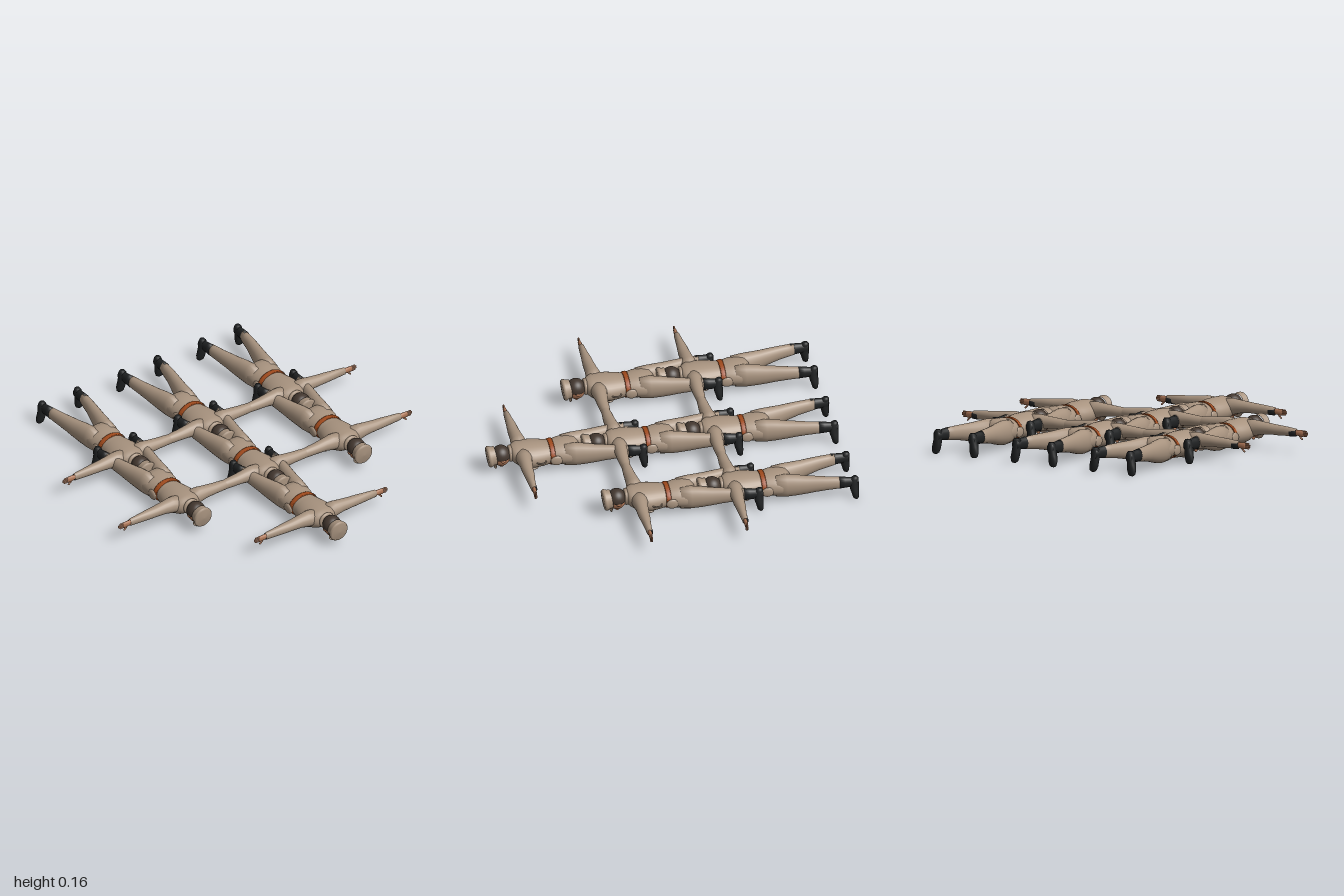
import * as THREE from 'three';

const mat = (name, color) => Object.assign(new THREE.MeshStandardMaterial({ color }), { name });

// Closed smooth body through elliptical sections [t, a, b, ra, rb] along an axis:
// z -> (a, b) = (x, y);  x -> (z, y);  y -> (x, z)
function loft(axis, rows, sides = 20) {
  const order = { z: [1, 2, 0], x: [0, 2, 1], y: [1, 0, 2] }[axis];
  const pos = [], index = [];
  const put = (t, a, b) => order.forEach((k) => pos.push([t, a, b][k]));
  const flip = (axis !== 'z') !== (rows[1][0] < rows[0][0]);
  const tri = (a, b, c) => (flip ? index.push(a, c, b) : index.push(a, b, c));
  for (const [t, a, b, ra, rb] of rows) {
    for (let j = 0; j < sides; j++) {
      const u = (j / sides) * Math.PI * 2;
      put(t, a + ra * Math.cos(u), b + rb * Math.sin(u));
    }
  }
  for (let i = 0; i < rows.length - 1; i++) {
    for (let j = 0; j < sides; j++) {
      const p = i * sides + j, q = i * sides + (j + 1) % sides;
      tri(p, q, q + sides);
      tri(p, q + sides, p + sides);
    }
  }
  // End caps
  const n = rows.length * sides, last = n - sides;
  for (const r of [rows[0], rows[rows.length - 1]]) put(r[0], r[1], r[2]);
  for (let j = 0; j < sides; j++) {
    const k = (j + 1) % sides;
    tri(n, k, j);
    tri(n + 1, last + j, last + k);
  }
  const g = new THREE.BufferGeometry();
  g.setAttribute('position', new THREE.Float32BufferAttribute(pos, 3));
  g.setIndex(index);
  g.computeVertexNormals();
  return g;
}

export function createModel() {
  const cloth = mat('khaki cloth', 0xa8937f);
  const skin = mat('skin', 0xb07858);
  const hair = mat('dark brown hair', 0x43372f);
  const leather = mat('black leather', 0x1f2122);
  const belt = mat('orange brown belt', 0xa04a1c);

  const figure = new THREE.Group();
  figure.name = 'figure';
  const add = (name, geometry, material, x = 0, y = 0, z = 0, parent = figure) => {
    const m = new THREE.Mesh(geometry, material);
    m.name = name;
    m.position.set(x, y, z);
    parent.add(m);
    return m;
  };
  const ball = (x, y, z) => new THREE.SphereGeometry(1, 24, 16).scale(x, y, z);

  // Jacket, lying face down with the head towards +z
  add('jacket', loft('z', [
    [0.46, 0, 0.095, 0.07, 0.035], [0.48, 0, 0.093, 0.092, 0.06], [0.52, 0, 0.09, 0.1, 0.072],
    [0.57, 0, 0.09, 0.095, 0.071], [0.605, 0, 0.09, 0.083, 0.064], [0.63, 0, 0.09, 0.08, 0.062],
    [0.67, 0, 0.09, 0.09, 0.068], [0.72, 0, 0.092, 0.1, 0.072], [0.77, 0, 0.097, 0.1, 0.068],
    [0.81, 0, 0.105, 0.09, 0.06], [0.835, 0, 0.11, 0.065, 0.048], [0.85, 0, 0.112, 0.04, 0.036],
  ], 32), cloth);
  add('belt', loft('z', [
    [0.605, 0, 0.09, 0.086, 0.067], [0.61, 0, 0.09, 0.088, 0.069],
    [0.628, 0, 0.09, 0.086, 0.068], [0.633, 0, 0.09, 0.083, 0.065],
  ], 32), belt);
  add('buckle', new THREE.BoxGeometry(0.032, 0.008, 0.032), leather, 0, 0.022, 0.619);
  add('collar', new THREE.TorusGeometry(0.037, 0.011, 10, 28), cloth, 0, 0.11, 0.85);
  const strap = add('sideStrap', new THREE.TorusGeometry(0.028, 0.004, 8, 24), cloth, 0.085, 0.09, 0.69);
  strap.rotation.x = Math.PI / 2;

  // Neck, head and hair
  add('neck', loft('z', [[0.83, 0, 0.108, 0.03, 0.03], [0.89, 0, 0.105, 0.03, 0.03]]), skin);
  add('face', ball(0.044, 0.056, 0.052), skin, 0, 0.095, 0.9);
  add('nose', ball(0.008, 0.012, 0.013), skin, 0, 0.038, 0.897);
  add('hair', new THREE.SphereGeometry(0.054, 28, 14, 0, Math.PI * 2, 0, Math.PI * 0.56)
    .scale(1, 1.05, 0.98), hair, 0, 0.108, 0.902).material.side = THREE.DoubleSide;

  // Peaked cap
  const cap = new THREE.Group();
  cap.name = 'cap';
  cap.position.set(0, 0.108, 0.932);
  cap.rotation.x = 0.12;
  figure.add(cap);
  const profile = [[0.046, 0], [0.05, 0.001], [0.051, 0.018], [0.058, 0.032], [0.058, 0.04], [0.052, 0.048], [0, 0.052]];
  const crown = new THREE.LatheGeometry(profile.map(([r, h]) => new THREE.Vector2(r, h)), 32);
  add('capCrown', crown.rotateX(Math.PI / 2).scale(1, 1.08, 1), cloth, 0, 0, 0, cap);
  const visor = add('capVisor', ball(0.042, 0.03, 0.005), cloth, 0, -0.05, 0.008, cap);
  visor.rotation.x = -0.3;

  for (const s of [-1, 1]) {
    const side = s > 0 ? 'left' : 'right';
    // Outstretched sleeve and hand with fingers stacked in height
    add(side + 'Sleeve', loft('x', [
      [0.03 * s, 0.785, 0.112, 0.05, 0.045], [0.09 * s, 0.785, 0.116, 0.043, 0.046],
      [0.14 * s, 0.787, 0.119, 0.036, 0.037], [0.2 * s, 0.79, 0.119, 0.032, 0.031],
      [0.24 * s, 0.789, 0.117, 0.029, 0.03], [0.3 * s, 0.791, 0.116, 0.022, 0.027],
      [0.372 * s, 0.792, 0.114, 0.016, 0.022],
    ]), cloth);
    add(side + 'Cuff', loft('x', [
      [0.335 * s, 0.788, 0.11, 0.017, 0.021], [0.374 * s, 0.788, 0.11, 0.015, 0.019],
    ]), leather);
    add(side + 'Hand', loft('x', [
      [0.36 * s, 0.792, 0.114, 0.01, 0.014], [0.385 * s, 0.792, 0.113, 0.011, 0.017],
      [0.415 * s, 0.793, 0.112, 0.009, 0.019], [0.423 * s, 0.793, 0.112, 0.006, 0.016],
    ], 14), skin);
    for (let i = 0; i < 4; i++) {
      const finger = add(side + 'Finger', new THREE.CapsuleGeometry(0.0045, 0.028, 4, 8), skin,
        (i === 0 || i === 3 ? 0.427 : 0.435) * s, 0.099 + i * 0.0088, 0.793);
      finger.rotation.z = Math.PI / 2;
    }
    const thumb = add(side + 'Thumb', new THREE.CapsuleGeometry(0.005, 0.024, 4, 8), skin, 0.404 * s, 0.088, 0.793);
    thumb.rotation.z = 0.8 * s;

    // Ear, jacket pockets
    add(side + 'Ear', ball(0.006, 0.011, 0.014), skin, 0.046 * s, 0.09, 0.897);
    add(side + 'BreastPocket', ball(0.026, 0.009, 0.028), cloth, 0.047 * s, 0.031, 0.725);
    add(side + 'HipPocket', ball(0.012, 0.03, 0.036), cloth, 0.087 * s, 0.082, 0.6);

    // Trouser leg spreading towards the feet
    add(side + 'Leg', loft('z', [
      [0.18, 0.114 * s, 0.107, 0.025, 0.035], [0.22, 0.108 * s, 0.106, 0.029, 0.038],
      [0.27, 0.1 * s, 0.104, 0.032, 0.042], [0.33, 0.087 * s, 0.1, 0.037, 0.049],
      [0.38, 0.076 * s, 0.095, 0.041, 0.056], [0.43, 0.064 * s, 0.092, 0.046, 0.064],
      [0.49, 0.053 * s, 0.09, 0.05, 0.07], [0.55, 0.048 * s, 0.09, 0.045, 0.066],
    ]), cloth);

    // Boot with the sole turned back and the toe hanging down
    add(side + 'BootShaft', loft('z', [
      [0.098, 0.121 * s, 0.106, 0.022, 0.03], [0.13, 0.119 * s, 0.106, 0.021, 0.03],
      [0.17, 0.116 * s, 0.107, 0.024, 0.034], [0.2, 0.113 * s, 0.107, 0.027, 0.037],
    ]), leather);
    add(side + 'BootFoot', loft('y', [
      [0.003, 0.134 * s, 0.107, 0.012, 0.009], [0.012, 0.133 * s, 0.109, 0.022, 0.016],
      [0.035, 0.131 * s, 0.111, 0.028, 0.02], [0.065, 0.127 * s, 0.115, 0.025, 0.025],
      [0.1, 0.123 * s, 0.117, 0.022, 0.027], [0.13, 0.12 * s, 0.114, 0.021, 0.023],
      [0.14, 0.12 * s, 0.111, 0.014, 0.014],
    ]), leather);
  }

  // Formation: one in front, then two ranks of three
  const model = new THREE.Group();
  model.name = 'formation';
  const step = 0.545;
  for (const [x, z] of [[0, 0], [-1, 1], [0, 1], [1, 1], [-1, 2], [0, 2], [1, 2]]) {
    const copy = figure.clone();
    copy.position.set(x * step, 0, -z * step);
    model.add(copy);
  }
  return model;
}
